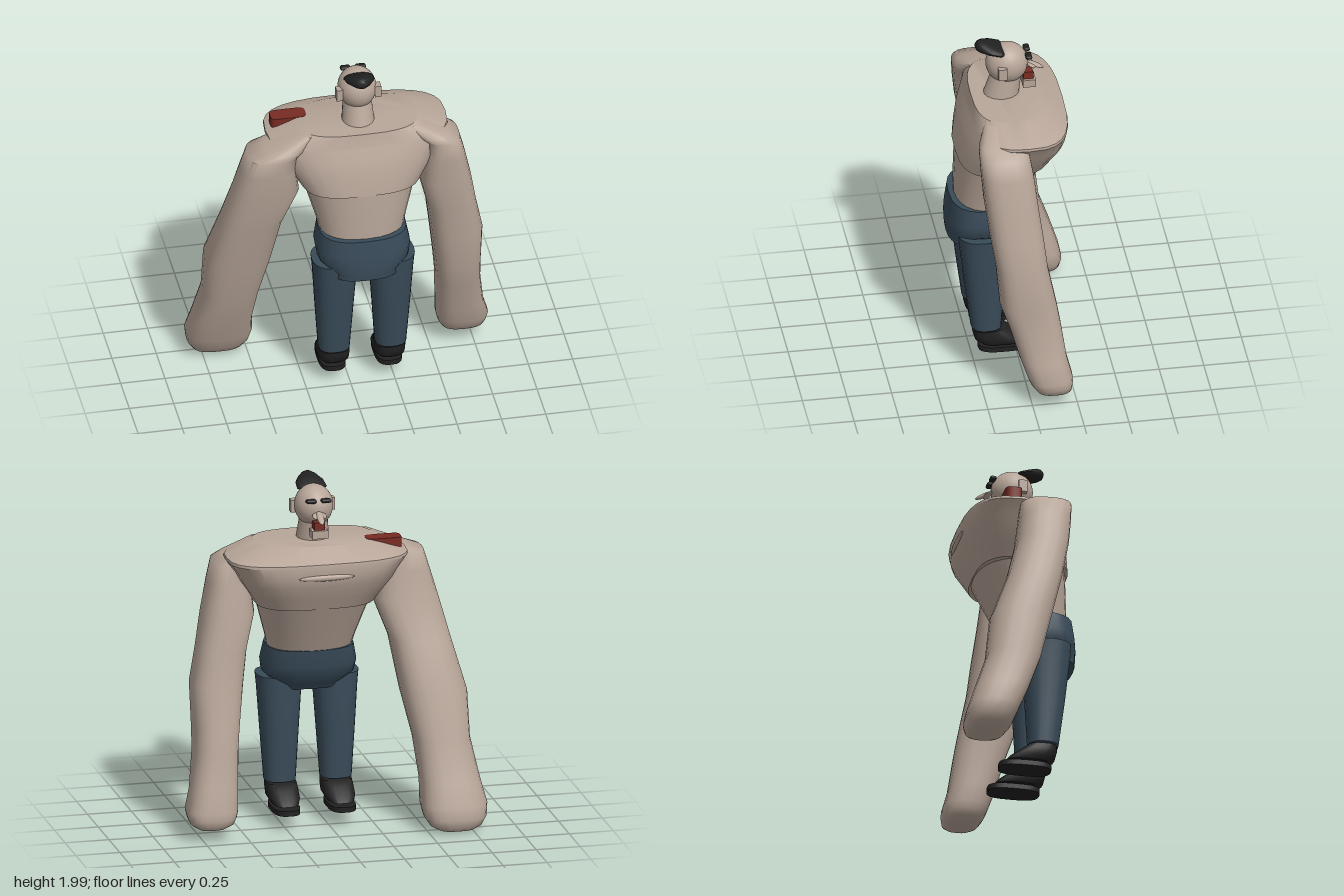
import * as THREE from 'three';
import { toCreasedNormals } from 'three/addons/utils/BufferGeometryUtils.js';
import { RoundedBoxGeometry } from 'three/addons/geometries/RoundedBoxGeometry.js';

const MID = 0.075; // body centre line in x
const material = (name, color) => Object.assign(new THREE.MeshStandardMaterial({ color }), { name });

// Closed loft through horizontal rings [y, x0, x1, z0, z1], bottom to top;
// power 2 gives ellipses, larger powers give rounded rectangles
function loft(rings, power = 2.4, seg = 24, crease = 0.7) {
  const pos = [], index = [];
  const bend = v => Math.sign(v) * Math.abs(v) ** (2 / power);
  for (const [y, x0, x1, z0, z1] of rings) {
    for (let i = 0; i < seg; i++) {
      const a = (i / seg) * Math.PI * 2;
      pos.push((x0 + x1) / 2 + bend(Math.cos(a)) * (x1 - x0) / 2, y,
        (z0 + z1) / 2 + bend(Math.sin(a)) * (z1 - z0) / 2);
    }
  }
  for (let r = 0; r < rings.length - 1; r++) {
    for (let i = 0; i < seg; i++) {
      const a = r * seg + i, b = r * seg + (i + 1) % seg;
      index.push(a, a + seg, b, b, a + seg, b + seg);
    }
  }
  // End caps
  const top = (rings.length - 1) * seg;
  for (let i = 1; i < seg - 1; i++) {
    index.push(0, i, i + 1, top, top + i + 1, top + i);
  }
  const g = new THREE.BufferGeometry();
  g.setAttribute('position', new THREE.Float32BufferAttribute(pos, 3));
  g.setIndex(index);
  return toCreasedNormals(g, crease);
}

// Rings reflected across the body's centre line
const mirror = rings => rings.map(([y, a, b, c, d]) => [y, 2 * MID - b, 2 * MID - a, c, d]);
// Rings given as [y, halfWidth, z0, z1] on the centre line
const centred = rings => rings.map(([y, w, a, b]) => [y, MID - w, MID + w, a, b]);

export function createModel() {
  const model = new THREE.Group();
  model.name = 'longArmedMan';
  const skin = material('skin', 0xb8a699);
  const denim = material('denim', 0x394b59);
  const black = material('black', 0x212121);
  const red = material('red', 0x782c23);

  const add = (name, geometry, mat, x = 0, y = 0, z = 0) => {
    const mesh = new THREE.Mesh(geometry, mat);
    mesh.name = name;
    mesh.position.set(x, y, z);
    model.add(mesh);
    return mesh;
  };

  // Torso
  add('chest', loft(centred([
    [1.30, 0.335, -0.185, 0.33], [1.37, 0.38, -0.22, 0.32], [1.45, 0.435, -0.26, 0.302],
    [1.5, 0.46, -0.274, 0.288], [1.57, 0.51, -0.278, 0.26], [1.585, 0.508, -0.275, 0.255],
    [1.655, 0.335, -0.15, 0.24],
  ]), 3, 28, 0.5), skin);
  add('belly', loft(centred([
    [1.0, 0.235, -0.03, 0.335], [1.07, 0.25, -0.065, 0.335], [1.31, 0.322, -0.185, 0.325],
  ]), 2.3), skin);
  const ridge = add('chestCrease', new THREE.SphereGeometry(1, 16, 8), skin, MID, 1.508, -0.27);
  ridge.scale.set(0.16, 0.018, 0.016);

  // Trousers
  add('hips', loft(centred([
    [0.77, 0.195, 0.06, 0.38], [0.8, 0.195, 0.04, 0.383], [0.855, 0.255, -0.01, 0.383],
    [0.92, 0.265, -0.03, 0.378], [1.02, 0.245, -0.045, 0.365],
  ]), 2.7), denim);
  const leg = [
    [0.23, 0.147, 0.322, 0.095, 0.265], [0.5, 0.13, 0.34, 0.08, 0.3],
    [0.77, 0.112, 0.357, 0.07, 0.33], [0.84, 0.108, 0.364, 0.07, 0.335],
  ];
  // Footwear
  const shoe = [
    [0.122, 0.16, 0.305, -0.035, 0.21], [0.15, 0.145, 0.32, -0.01, 0.245],
    [0.19, 0.145, 0.32, 0.045, 0.255], [0.22, 0.147, 0.317, 0.085, 0.255],
  ];
  const sole = [[0.08, 0.157, 0.31, -0.07, 0.225], [0.11, 0.157, 0.31, -0.07, 0.225]];
  for (const [side, place] of [['left', r => r], ['right', mirror]]) {
    add(side + 'Leg', loft(place(leg), 2.5), denim);
    add(side + 'Shoe', loft(place(shoe), 3), black);
    add(side + 'Sole', loft(place(sole), 3), black);
  }

  // Arms, from the fist up to the shoulder sloping into the chest
  add('leftArm', loft([
    [0.06, 0.685, 0.735, -0.16, -0.1], [0.07, 0.625, 0.775, -0.2, -0.06],
    [0.095, 0.575, 0.815, -0.225, -0.02],
    [0.13, 0.557, 0.828, -0.23, 0.005], [0.17, 0.547, 0.836, -0.228, 0.022],
    [0.28, 0.54, 0.803, -0.2, 0.06], [0.49, 0.53, 0.775, -0.17, 0.12],
    [0.62, 0.515, 0.77, -0.148, 0.165], [0.86, 0.485, 0.775, -0.1, 0.185],
    [1.05, 0.46, 0.735, -0.08, 0.215], [1.25, 0.41, 0.7, -0.055, 0.24],
    [1.42, 0.43, 0.662, -0.035, 0.255], [1.535, 0.43, 0.632, -0.015, 0.262],
    [1.57, 0.38, 0.575, -0.01, 0.25], [1.645, 0.3, 0.42, 0.03, 0.2],
  ], 2.8, 24, 1), skin);
  add('rightArm', loft([
    [0, -0.7, -0.62, -0.31, -0.25], [0.012, -0.76, -0.56, -0.35, -0.195],
    [0.035, -0.805, -0.515, -0.37, -0.15],
    [0.08, -0.832, -0.487, -0.38, -0.115], [0.15, -0.842, -0.472, -0.365, -0.085],
    [0.28, -0.812, -0.48, -0.325, -0.03], [0.5, -0.772, -0.46, -0.25, 0.05],
    [0.76, -0.767, -0.4, -0.217, 0.115], [1.05, -0.694, -0.355, -0.11, 0.19],
    [1.28, -0.637, -0.27, -0.05, 0.24], [1.43, -0.594, -0.29, -0.03, 0.257],
    [1.535, -0.563, -0.28, -0.015, 0.265], [1.57, -0.46, -0.24, -0.01, 0.25],
    [1.645, -0.28, -0.18, 0.03, 0.2],
  ], 2.8, 24, 1), skin);

  // Red block on the right shoulder
  add('shoulderBlock', loft([
    [1.57, -0.4, -0.2, -0.09, 0.005], [1.657, -0.4, -0.2, -0.09, 0.005],
  ], 5), red);

  // Neck and head
  add('neck', loft(centred([
    [1.64, 0.092, -0.03, 0.172], [1.78, 0.078, -0.045, 0.125],
  ]), 2), skin);
  const head = add('head', new THREE.SphereGeometry(1, 28, 20), skin, MID, 1.843, 0.037);
  head.scale.set(0.108, 0.118, 0.118);
  for (const s of [-1, 1]) {
    add(s > 0 ? 'leftEar' : 'rightEar', new THREE.BoxGeometry(0.035, 0.07, 0.048), skin,
      MID + s * 0.108, 1.835, 0.077);
    add(s > 0 ? 'leftEye' : 'rightEye', new RoundedBoxGeometry(0.058, 0.022, 0.036, 3, 0.01), black,
      MID + s * 0.043, 1.896, -0.079);
  }
  const nose = add('nose', new THREE.SphereGeometry(1, 16, 10), skin, MID, 1.81, -0.122);
  nose.scale.set(0.02, 0.012, 0.054);
  nose.rotation.x = -0.5;
  const nostrils = add('nostrils', new THREE.SphereGeometry(1, 16, 10), skin, MID, 1.815, -0.1);
  nostrils.scale.set(0.042, 0.011, 0.03);
  nostrils.rotation.x = -0.5;
  add('mouth', new THREE.BoxGeometry(0.06, 0.05, 0.055), red, MID, 1.755, -0.08);
  add('chin', new THREE.BoxGeometry(0.09, 0.046, 0.072), skin, MID, 1.712, -0.085);

  // Swept-back topknot, lofted along its own axis
  const ring = (t, w, h) => [t, -w, w, -h, h];
  const knot = add('topknot', loft([
    ring(0, 0.072, 0.018), ring(0.015, 0.085, 0.026), ring(0.075, 0.08, 0.031),
    ring(0.12, 0.056, 0.035), ring(0.145, 0.036, 0.028), ring(0.156, 0.018, 0.012),
  ], 1.9, 20), black, MID, 1.929, 0.062);
  knot.rotation.x = 1.3;

  return model;
}
